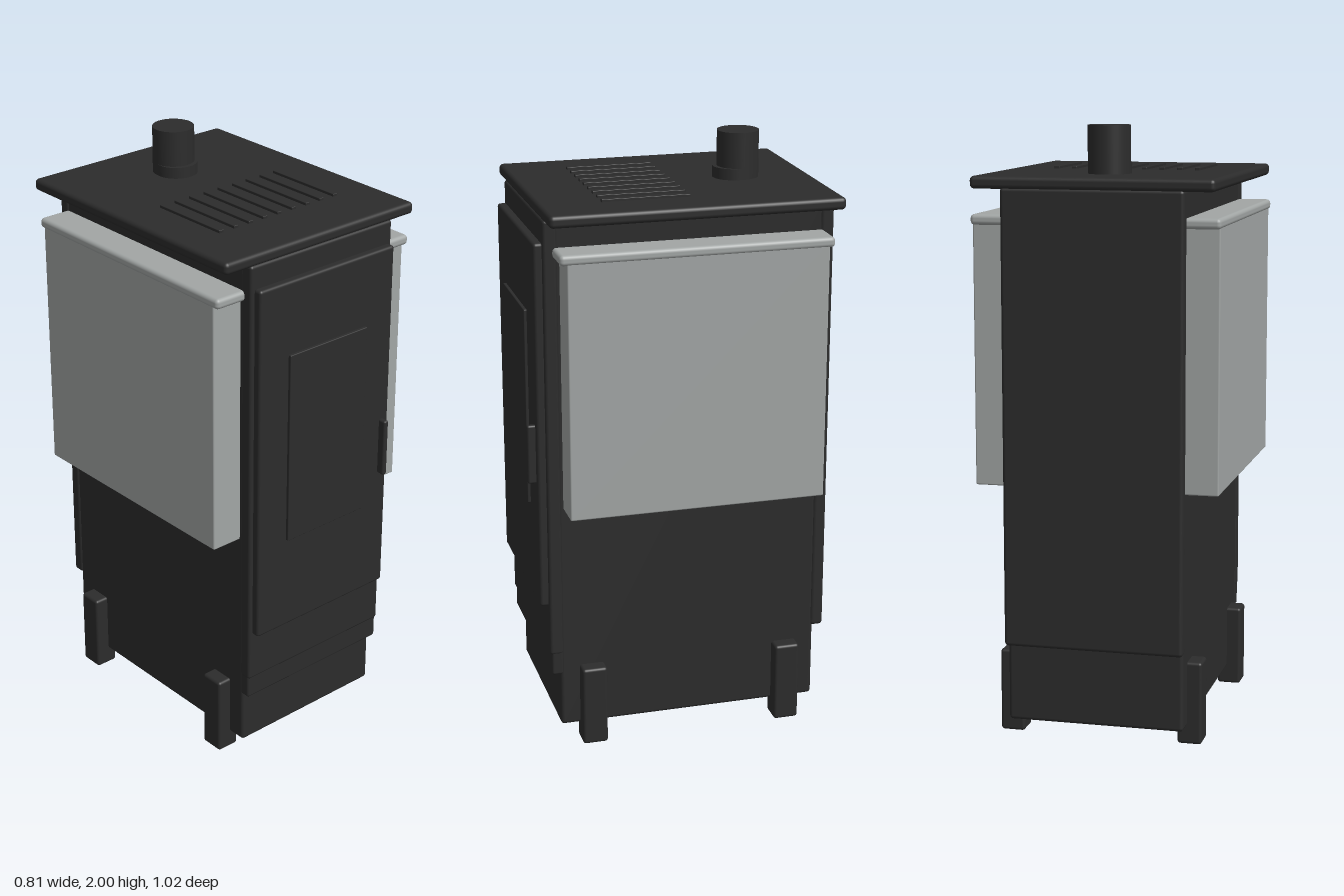
import * as THREE from 'three';
import { RoundedBoxGeometry } from 'three/addons/geometries/RoundedBoxGeometry.js';

export function createModel() {
  const model = new THREE.Group();
  model.name = 'stove';
  const black = new THREE.MeshStandardMaterial({ color: 0x2c2c2c });
  black.name = 'black steel';
  const grey = new THREE.MeshStandardMaterial({ color: 0xa2a6a5 });
  grey.name = 'light grey panel';

  // Box given by its extents, with softly rounded edges
  function box(name, [x0, x1], [y0, y1], [z0, z1], radius, material = black, parent = model) {
    const geometry = new RoundedBoxGeometry(x1 - x0, y1 - y0, z1 - z0, 3, radius);
    const mesh = new THREE.Mesh(geometry, material);
    mesh.position.set((x0 + x1) / 2, (y0 + y1) / 2, (z0 + z1) / 2);
    mesh.name = name;
    parent.add(mesh);
    return mesh;
  }

  function pipe(name, radius, y0, y1, z) {
    const mesh = new THREE.Mesh(new THREE.CylinderGeometry(radius, radius, y1 - y0, 40), black);
    mesh.position.set(0, (y0 + y1) / 2, z);
    mesh.name = name;
    model.add(mesh);
  }

  // Cabinet
  box('body', [-0.293, 0.293], [0.06, 1.81], [-0.47, 0.42], 0.012);
  box('backPanel', [-0.297, 0.297], [0.32, 1.81], [-0.505, -0.46], 0.012);
  box('frontFrame', [-0.297, 0.297], [0.325, 1.81], [0.41, 0.455], 0.01);
  box('ashDrawer', [-0.295, 0.295], [0.25, 0.34], [0.41, 0.449], 0.008);

  // Door with window and handle
  box('door', [-0.284, 0.284], [0.5, 1.735], [0.45, 0.483], 0.01);
  box('doorWindow', [-0.165, 0.165], [0.827, 1.49], [0.478, 0.493], 0.003);
  box('doorHandle', [0.243, 0.262], [0.93, 1.13], [0.478, 0.51], 0.007);

  // Overhanging lid and its row of vent ribs
  box('lid', [-0.395, 0.395], [1.805, 1.845], [-0.51, 0.453], 0.014);
  const vents = new THREE.Group();
  vents.name = 'lidVents';
  model.add(vents);
  for (let i = -4; i <= 4; i++) {
    const x = i * 0.06;
    box('vent', [x - 0.009, x + 0.009], [1.838, 1.854], [-0.037, 0.253], 0.002, black, vents);
  }

  // Flue pipe with its slightly offset collar
  pipe('flueCollar', 0.07, 1.84, 1.882, -0.256);
  pipe('fluePipe', 0.069, 1.84, 2, -0.27);

  // Mirrored side panels, caps and legs
  for (const side of [1, -1]) {
    const span = (a, b) => (side > 0 ? [a, b] : [-b, -a]);
    box('sidePanel', span(0.285, 0.402), [0.843, 1.71], [-0.455, 0.402], 0.005, grey);
    box('sidePanelCap', span(0.287, 0.406), [1.688, 1.722], [-0.472, 0.425], 0.013, grey);
    box('frontLeg', span(0.26, 0.341), [0, 0.277], [0.27, 0.355], 0.01);
    box('backLeg', span(0.26, 0.341), [0, 0.277], [-0.406, -0.321], 0.01);
  }
  return model;
}
